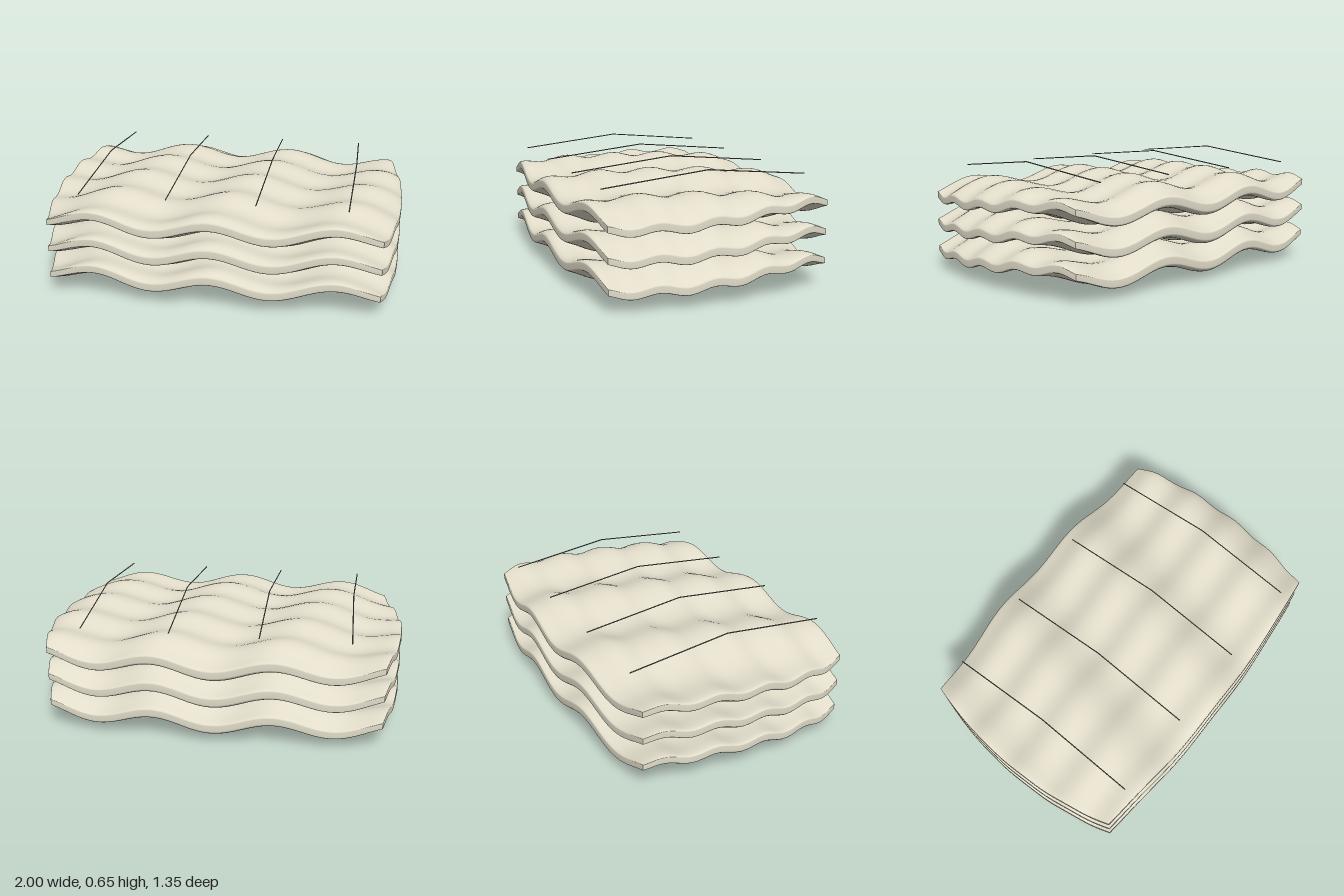
import * as THREE from 'three';
import { mergeVertices } from 'three/addons/utils/BufferGeometryUtils.js';

const HALF_X = 1, HALF_Z = 0.675, HALF_THICK = 0.08, HALF_RIM = 0.016;
const SHEET_SPACING = 0.157, FIRST_SHEET_Y = 0.131;

// Ripples shared by all the sheets: a long diagonal wave and a short one along z
const ripple = (x, z) => 0.034 * Math.sin(9.6 * x + 2.4 * z) + 0.013 * Math.sin(22 * z);

// Pillow-like sheet: a box bowed outwards, thinned to a blunt rim and rippled
function sheetGeometry() {
  const box = new THREE.BoxGeometry(2, 2, 2, 72, 2, 56);
  box.deleteAttribute('uv');
  box.deleteAttribute('normal');
  const g = mergeVertices(box, 1e-4);                // weld so the rim is smooth
  const p = g.attributes.position;
  for (let i = 0; i < p.count; i++) {
    const a = p.getX(i) * Math.PI / 2, b = p.getZ(i) * Math.PI / 2;
    const u = Math.sin(a), v = Math.sin(b);          // rows crowd towards the rim
    const x = HALF_X * u * (1 - 0.09 * v * v);
    const z = HALF_Z * v * (1 - 0.095 * u * u);
    const swell = Math.max(0, Math.cos(a) * Math.cos(b)) ** 0.9;
    const thick = HALF_RIM + (HALF_THICK - HALF_RIM) * swell;
    p.setXYZ(i, x, ripple(x, z) + p.getY(i) * thick, z);
  }
  g.computeVertexNormals();
  return g;
}

// Thin straight rod between two points
function rod(from, to, radius, material) {
  const g = new THREE.TubeGeometry(new THREE.LineCurve3(from, to), 1, radius, 6);
  return new THREE.Mesh(g, material);
}

export function createModel() {
  const model = new THREE.Group();
  model.name = 'stackedSheets';

  const cloth = new THREE.MeshStandardMaterial({ color: 0xe2ddca });
  cloth.name = 'cream cloth';
  const grey = new THREE.MeshStandardMaterial({ color: 0x7d786c, side: THREE.DoubleSide });
  grey.name = 'grey cord';

  // Three identical rippled sheets
  const geometry = sheetGeometry();
  ['lowerSheet', 'middleSheet', 'upperSheet'].forEach((name, i) => {
    const sheet = new THREE.Mesh(geometry, cloth);
    sheet.name = name;
    sheet.position.y = FIRST_SHEET_Y + i * SHEET_SPACING;
    model.add(sheet);
  });

  // Four cords, each bent to a shallow ridge above the stack
  [-0.725, -0.242, 0.242, 0.725].forEach((x, i) => {
    const cord = new THREE.Group();
    cord.name = `cord${i + 1}`;
    const apex = new THREE.Vector3(x + 0.008, 0.651, 0);
    for (const s of [1, -1]) {
      const half = rod(new THREE.Vector3(x - 0.003, 0.591, s * 0.58), apex, 0.0032, grey);
      half.name = s > 0 ? 'frontCord' : 'backCord';
      cord.add(half);
    }
    model.add(cord);
  });

  return model;
}
